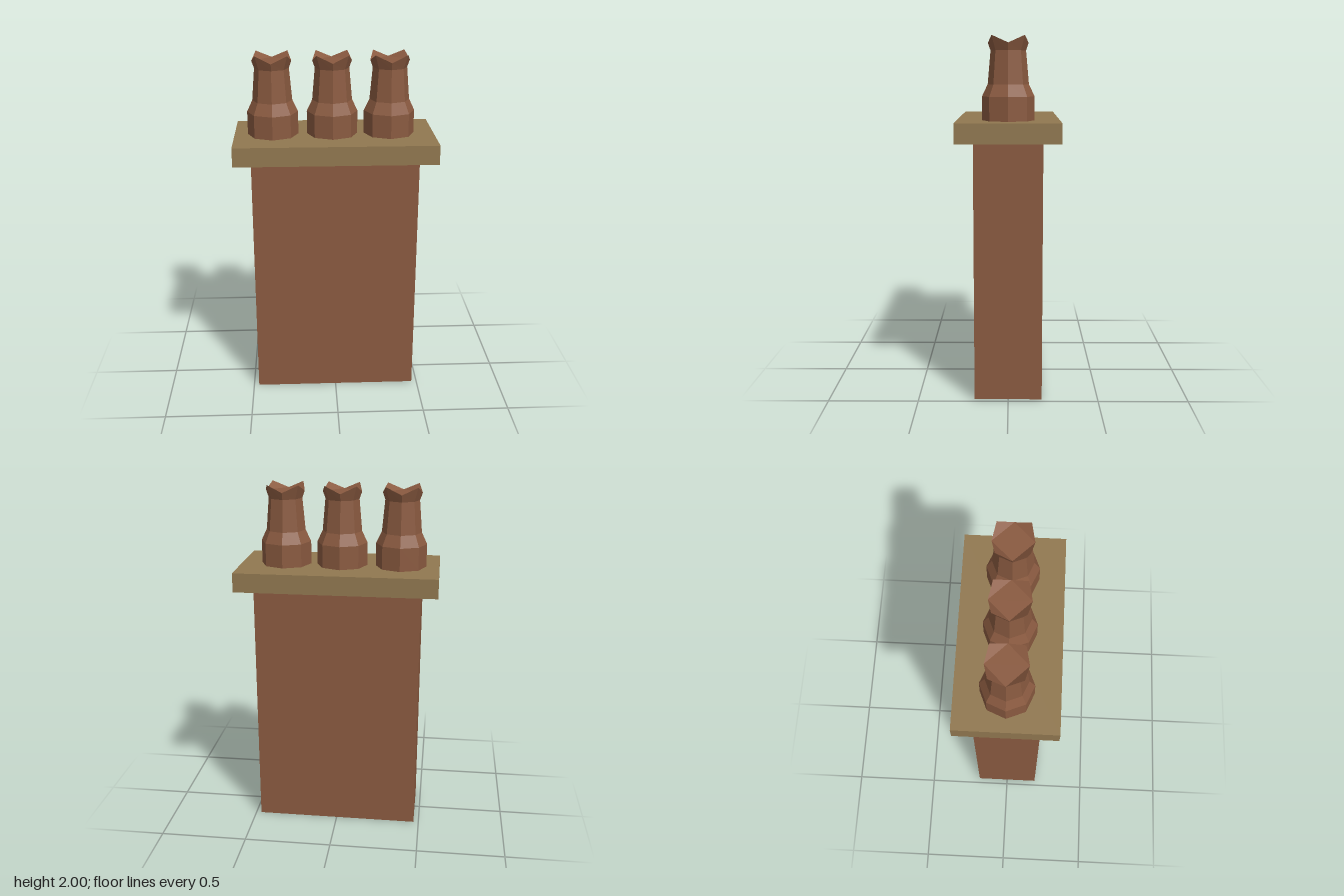
import * as THREE from 'three';

const brick = new THREE.MeshStandardMaterial({ color: 0x8a5a40, flatShading: true });
const stone = new THREE.MeshStandardMaterial({ color: 0x917850, flatShading: true });

const SIDES = 8;
const SLAB_TOP = 1.545;

// Rim corner i: the four diagonal corners rise into points, the others dip
function rimCorner(i) {
  const a = (i / SIDES) * Math.PI * 2;
  const peak = i % 2 === 1;
  const r = peak ? 0.125 : 0.11;
  return new THREE.Vector3(r * Math.sin(a), peak ? 2 : 1.96, r * Math.cos(a));
}

function flat(geometry) {
  const g = geometry.toNonIndexed();
  g.computeVertexNormals();
  return g;
}

// Eight-sided pot wall: wide foot, shoulder, tapering neck and flared crown
function potWall() {
  const profile = [[0.143, SLAB_TOP], [0.143, 1.675], [0.112, 1.74], [0.096, 1.92], [0.11, 1.96]]
    .map(([r, y]) => new THREE.Vector2(r, y));
  const g = new THREE.LatheGeometry(profile, SIDES);
  const rim = profile.length - 1;
  for (let i = 0; i <= SIDES; i++) {
    const p = rimCorner(i);
    g.attributes.position.setXYZ(i * profile.length + rim, p.x, p.y, p.z);
  }
  return flat(g);
}

// Top of the pot: a level square with four corner triangles folded upward
function potCap() {
  const c = Array.from({ length: SIDES }, (_, i) => rimCorner(i));
  const points = [c[0], c[2], c[4], c[0], c[4], c[6]];
  for (let i = 0; i < SIDES; i += 2) points.push(c[i], c[i + 1], c[(i + 2) % SIDES]);
  const g = new THREE.BufferGeometry().setFromPoints(points);
  g.computeVertexNormals();
  return g;
}

function add(parent, name, geometry, material) {
  const mesh = new THREE.Mesh(geometry, material);
  mesh.name = name;
  parent.add(mesh);
  return mesh;
}

export function createModel() {
  const model = new THREE.Group();
  model.name = 'chimney';

  // Brick stack and overhanging slab
  add(model, 'stack', new THREE.BoxGeometry(0.94, 1.437, 0.375), brick).position.y = 1.437 / 2;
  add(model, 'slab', new THREE.BoxGeometry(1.13, 0.108, 0.566), stone).position.y = 1.437 + 0.054;

  // Row of three chimney pots
  const wall = potWall();
  const cap = potCap();
  ['rightPot', 'middlePot', 'leftPot'].forEach((name, i) => {
    const pot = new THREE.Group();
    pot.name = name;
    add(pot, 'potWall', wall, brick);
    add(pot, 'potCap', cap, brick);
    pot.position.x = [-0.347, -0.012, 0.31][i];
    model.add(pot);
  });

  return model;
}
